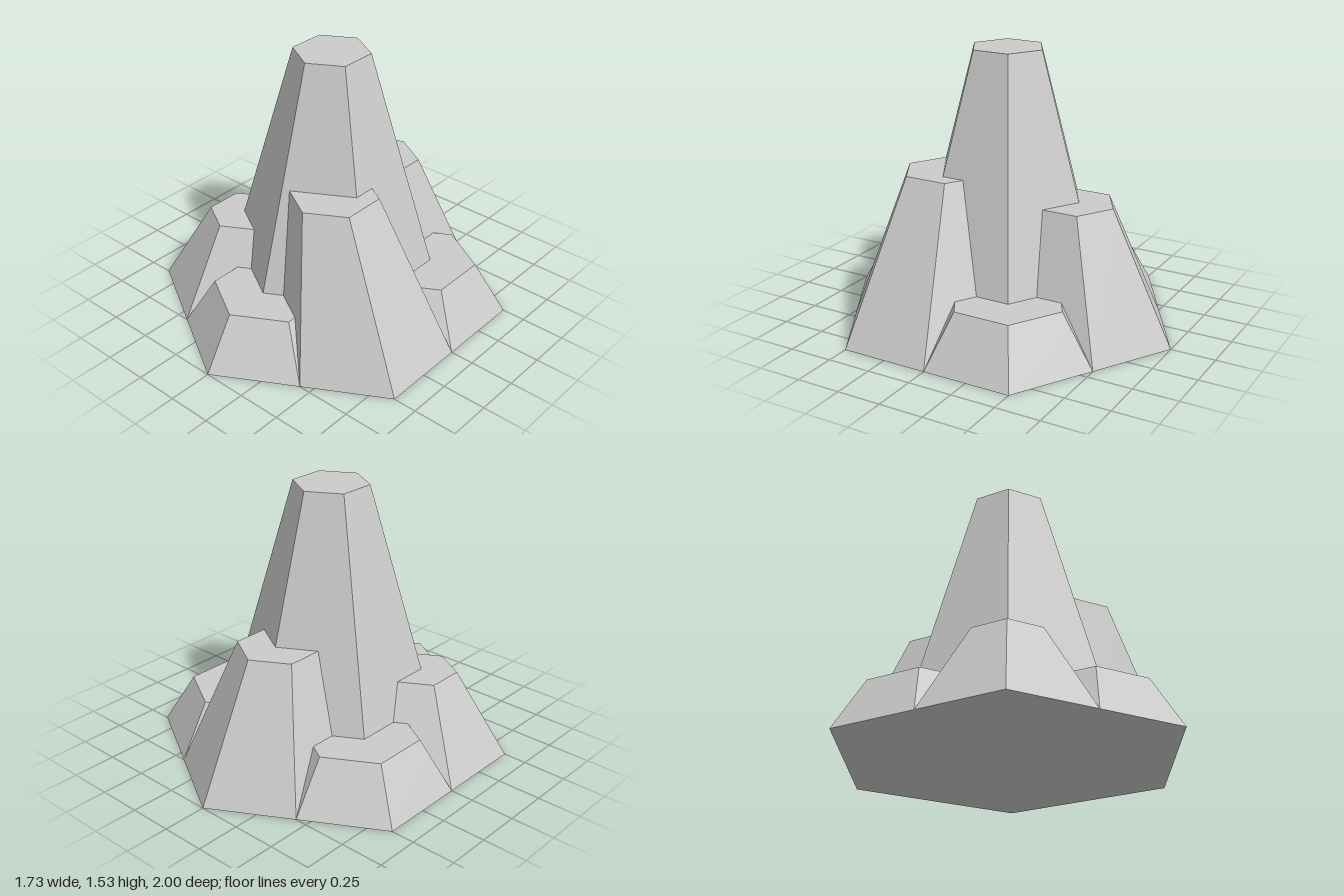
import * as THREE from 'three';
import { mergeGeometries } from 'three/addons/utils/BufferGeometryUtils.js';

const stone = new THREE.MeshStandardMaterial({ color: 0xcccccc, flatShading: true });
const paleStone = new THREE.MeshStandardMaterial({ color: 0xe0e0e0, flatShading: true });
const RIM = 0.08; // height of the pale band around each top

// Six-sided tapered column, corner facing +z, whose top may lean sideways
function column(name, { x = 0, z = 0, base = 0.5, top, height, leanX = 0, leanZ = 0 }) {
  const split = height - RIM;
  const mid = THREE.MathUtils.lerp(base, top, split / height);

  const body = new THREE.CylinderGeometry(mid, base, split, 6, 1, true);
  body.translate(0, split / 2, 0);

  const rim = new THREE.CylinderGeometry(top, mid, RIM, 6, 1, true);
  rim.translate(0, height - RIM / 2, 0);
  const lid = new THREE.CircleGeometry(top, 6, Math.PI / 2);
  lid.rotateX(-Math.PI / 2);
  lid.translate(0, height, 0);
  const cap = mergeGeometries([rim, lid]);

  // Shift every vertex in proportion to its height
  const kx = leanX / height, kz = leanZ / height;
  const lean = new THREE.Matrix4().set(
    1, kx, 0, 0,
    0, 1, 0, 0,
    0, kz, 1, 0,
    0, 0, 0, 1
  );
  const group = new THREE.Group();
  group.name = name;
  for (const [part, geometry, material] of [['body', body, stone], ['cap', cap, paleStone]]) {
    geometry.applyMatrix4(lean);
    const mesh = new THREE.Mesh(geometry, material);
    mesh.name = name + ' ' + part;
    group.add(mesh);
  }
  group.position.set(x, 0, z);
  return group;
}

export function createModel() {
  const model = new THREE.Group();
  model.name = 'rock formation';

  // Central spire
  model.add(column('central spire', { base: 0.65, top: 0.209, height: 1.535 }));

  // Ring of outer rocks, one at every corner of the hexagon, starting at the front
  const rocks = [
    ['front rock', { top: 0.32, height: 0.293 }],
    ['front left rock', { top: 0.242, height: 0.87, leanX: -0.202 }],
    ['back left rock', { top: 0.32, height: 0.293 }],
    ['back rock', { top: 0.231, height: 0.73, leanZ: 0.09 }],
    ['back right rock', { top: 0.32, height: 0.293 }],
    ['front right rock', { top: 0.208, height: 0.488 }],
  ];
  rocks.forEach(([name, shape], i) => {
    const angle = (i * Math.PI) / 3;
    model.add(column(name, { x: 0.5 * Math.sin(angle), z: 0.5 * Math.cos(angle), ...shape }));
  });

  // Flat hexagonal underside
  const floor = new THREE.CircleGeometry(1, 6, Math.PI / 2);
  floor.rotateX(Math.PI / 2);
  const underside = new THREE.Mesh(floor, stone);
  underside.name = 'underside';
  model.add(underside);

  return model;
}
